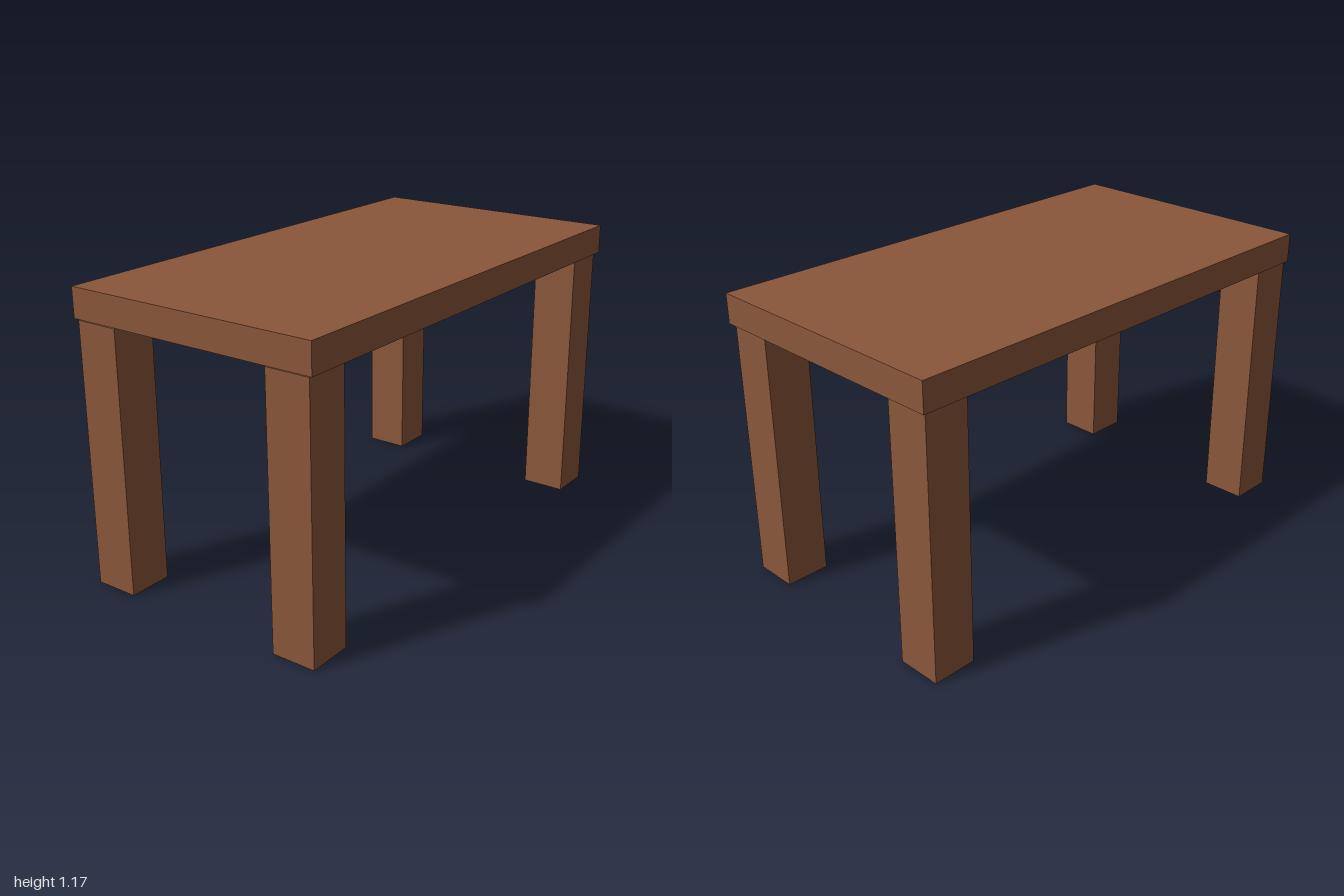
import * as THREE from 'three';

const WIDTH = 1.07, LENGTH = 2, TOP_Y = 1.172, TOP_THICKNESS = 0.118;
const LEG = 0.18, LEG_HEIGHT = 1.048;

export function createModel() {
  const table = new THREE.Group();
  table.name = 'table';
  const wood = new THREE.MeshStandardMaterial({ color: 0x8b573b });
  wood.name = 'brown wood';

  // Flat slab, a hair above the legs
  const top = new THREE.Mesh(new THREE.BoxGeometry(WIDTH, TOP_THICKNESS, LENGTH), wood);
  top.name = 'tableTop';
  top.position.y = TOP_Y - TOP_THICKNESS / 2;
  table.add(top);

  // Four square legs, set slightly off centre under the top
  const legGeometry = new THREE.BoxGeometry(LEG, LEG_HEIGHT, LEG);
  for (const [side, x] of [['Left', 0.429], ['Right', -0.432]]) {
    for (const [end, z] of [['front', 0.902], ['back', -0.893]]) {
      const leg = new THREE.Mesh(legGeometry, wood);
      leg.name = `${end}${side}Leg`;
      leg.position.set(x, LEG_HEIGHT / 2, z);
      table.add(leg);
    }
  }
  return table;
}
